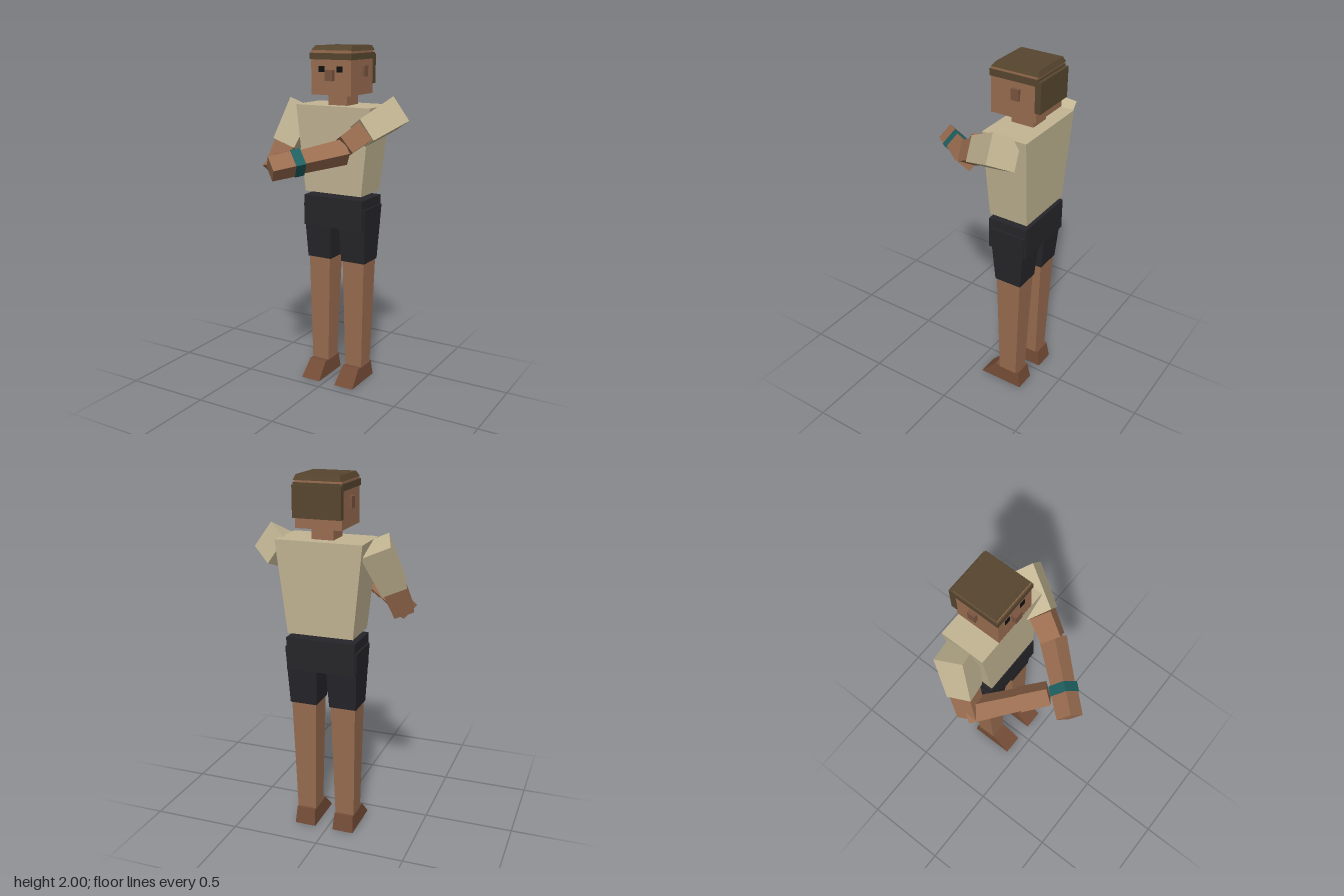
import * as THREE from 'three';

const paint = (color) => new THREE.MeshStandardMaterial({ color, flatShading: true });
const V = (a) => new THREE.Vector3(...a);

export function createModel() {
  const model = new THREE.Group();
  const CX = 0.018; // body centre line
  const skin = paint(0x9a6d50), nose = paint(0x7a5540), shirt = paint(0xc2b593), hair = paint(0x57462f);
  const shorts = paint(0x26262a), shoe = paint(0x744c37), teal = paint(0x1f6060), black = paint(0x101010);

  function add(name, geo, mat, parent = model) {
    geo.computeVertexNormals();
    const mesh = new THREE.Mesh(geo, mat);
    mesh.name = name;
    parent.add(mesh);
    return mesh;
  }

  // Upright tapered block; each end is [y, xMin, xMax, zMin, zMax]
  function block(name, mat, lo, hi = null, parent = model) {
    const geo = new THREE.BoxGeometry(1, 1, 1), p = geo.attributes.position;
    for (let i = 0; i < p.count; i++) {
      const e = p.getY(i) < 0 ? lo : hi;
      p.setXYZ(i, p.getX(i) < 0 ? e[1] : e[2], e[0], p.getZ(i) < 0 ? e[3] : e[4]);
    }
    return add(name, geo, mat, parent);
  }
  const box = (name, mat, x0, x1, y0, y1, z0, z1, parent) =>
    block(name, mat, [y0, x0, x1, z0, z1], [y1, x0, x1, z0, z1], parent);

  // Square limb from a to b, one pair of sides facing along "side"
  function limb(name, mat, a, b, sizeA, sizeB, side, parent) {
    const A = V(a), B = V(b), dir = B.clone().sub(A).normalize();
    const s = V(side).addScaledVector(dir, -V(side).dot(dir)).normalize();
    const t = s.clone().cross(dir);
    const geo = new THREE.BoxGeometry(1, 1, 1), p = geo.attributes.position;
    for (let i = 0; i < p.count; i++) {
      const end = p.getY(i) > 0, k = end ? sizeB : sizeA;
      const q = (end ? B : A).clone().addScaledVector(s, p.getX(i) * k).addScaledVector(t, p.getZ(i) * k);
      p.setXYZ(i, q.x, q.y, q.z);
    }
    return add(name, geo, mat, parent);
  }
  const mix = (a, b, t) => V(a).lerp(V(b), t).toArray();

  // Head with face, ears and hair
  const head = new THREE.Group();
  head.name = 'head';
  model.add(head);
  box('skull', skin, -0.107, 0.147, 1.73, 1.975, -0.362, -0.1, head);
  block('hairTop', hair, [1.972, -0.109, 0.149, -0.375, -0.1], [2, -0.095, 0.137, -0.363, -0.122], head);
  box('hairBand', hair, -0.114, 0.153, 1.925, 1.96, -0.37, -0.093, head);
  box('hairBack', hair, -0.112, 0.151, 1.785, 1.95, -0.388, -0.355, head);
  box('nose', nose, -0.005, 0.042, 1.81, 1.87, -0.11, -0.073, head);
  for (const s of [-1, 1]) {
    const e = CX + s * 0.057, r = CX + s * 0.135;
    box('eye', black, e - 0.017, e + 0.017, 1.857, 1.89, -0.11, -0.095, head);
    box('ear', nose, r - 0.011, r + 0.011, 1.83, 1.89, -0.27, -0.225, head);
  }
  block('neck', skin, [1.66, -0.042, 0.079, -0.31, -0.18], [1.735, -0.042, 0.079, -0.31, -0.18]);

  // Shirt body and waist of the shorts
  block('torso', shirt, [1.164, -0.165, 0.202, -0.36, -0.13], [1.668, -0.22, 0.257, -0.377, -0.118]);
  box('waist', shorts, -0.175, 0.211, 0.96, 1.14, -0.363, -0.13);

  // Legs, mirrored about the centre line; half-spans are [inner, outer]
  for (const s of [-1, 1]) {
    const leg = new THREE.Group();
    leg.name = s > 0 ? 'leftLeg' : 'rightLeg';
    model.add(leg);
    const end = (y, inn, out, z0, z1) => [y, CX + (s > 0 ? inn : -out), CX + (s > 0 ? out : -inn), z0, z1];
    block('shortsLeg', shorts, end(0.755, 0.037, 0.19, -0.33, -0.17), end(1.085, 0.022, 0.203, -0.357, -0.142), leg);
    block('leg', skin, end(0.08, 0.06, 0.169, -0.3, -0.19), end(0.78, 0.043, 0.184, -0.325, -0.175), leg);
    block('shoe', shoe, end(0, 0.053, 0.175, -0.335, -0.066), end(0.095, 0.06, 0.169, -0.317, -0.155), leg);
  }

  // Bent arms crossing in front; roll sets how each upper arm is turned
  const arms = [
    { name: 'rightArm', shoulder: [-0.25, 1.648, -0.266], cuff: [-0.324, 1.419, -0.168], elbow: [-0.362, 1.278, -0.106],
      roll: [0.335, 0.305, 0.89], bend: [-0.375, 1.3, -0.119], tip: [-0.06, 1.38, 0.175] },
    { name: 'leftArm', shoulder: [0.326, 1.63, -0.293], cuff: [0.225, 1.532, -0.087], elbow: [0.17, 1.467, 0.025],
      roll: [0.587, -0.79, -0.175], bend: [0.18, 1.443, 0.02], tip: [-0.096, 1.372, 0.34] },
  ];
  for (const a of arms) {
    const arm = new THREE.Group();
    arm.name = a.name;
    model.add(arm);
    limb('sleeve', shirt, a.shoulder, a.cuff, 0.162, 0.138, a.roll, arm);
    limb('upperArm', skin, a.cuff, a.elbow, 0.12, 0.11, a.roll, arm);
    // Forearm stands on its edge: side halfway between level and upright
    const d = V(a.tip).sub(V(a.bend)).normalize();
    const level = V([0, 1, 0]).cross(d).normalize();
    const side = level.clone().add(d.clone().cross(level)).toArray();
    limb('forearm', skin, a.bend, mix(a.bend, a.tip, 0.68), 0.104, 0.09, side, arm);
    limb('hand', skin, mix(a.bend, a.tip, 0.64), a.tip, 0.102, 0.097, side, arm);
    if (a.name === 'leftArm')
      limb('wristband', teal, mix(a.bend, a.tip, 0.58), mix(a.bend, a.tip, 0.705), 0.108, 0.108, side, arm);
  }
  return model;
}
